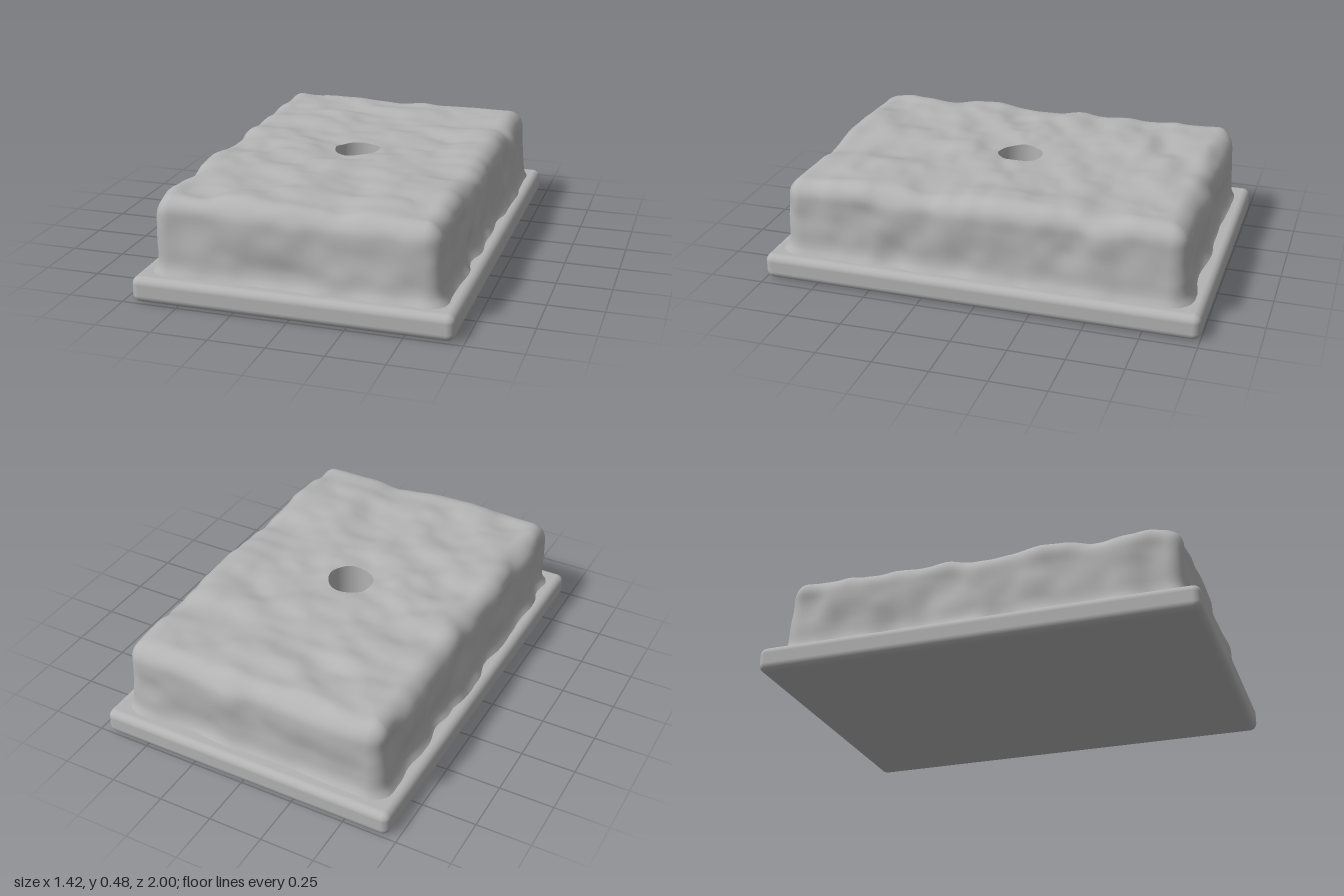
import * as THREE from 'three';
import { RoundedBoxGeometry } from 'three/addons/geometries/RoundedBoxGeometry.js';

const HOLE_R = 0.105, BASE_TOP = 0.117;

// Seeded smooth value noise, about -1..1
function hash(x, y, z) {
  let h = Math.imul(x, 374761393) ^ Math.imul(y, 668265263) ^ Math.imul(z, 1274126177) ^ 9137;
  h = Math.imul(h ^ (h >>> 13), 1103515245);
  return ((h ^ (h >>> 16)) >>> 0) / 2147483648 - 1;
}
function noise(x, y, z) {
  const c = [x, y, z].map(Math.floor);
  const f = [x, y, z].map((v, i) => { const t = v - c[i]; return t * t * t * (t * (t * 6 - 15) + 10); });
  let sum = 0;
  for (let k = 0; k < 8; k++) {
    const b = [k & 1, (k >> 1) & 1, k >> 2];
    const w = b.reduce((p, on, i) => p * (on ? f[i] : 1 - f[i]), 1);
    sum += w * hash(c[0] + b[0], c[1] + b[1], c[2] + b[2]);
  }
  return sum;
}

// Rounded rectangle loop, counter-clockwise from above, same count for every size
function ring(inset) {
  const hw = 0.638 - inset, hd = 0.918 - inset, r = Math.max(0.08 - inset, 0.02), pts = [];
  const corners = [[1, -1], [-1, -1], [-1, 1], [1, 1]];
  const at = (q, t) => {
    const a = (q + t) * Math.PI / 2;
    return [corners[q][0] * (hw - r) + r * Math.cos(a), corners[q][1] * (hd - r) - r * Math.sin(a)];
  };
  for (let q = 0; q < 4; q++) {
    for (let i = 0; i < 8; i++) pts.push(at(q, i / 8));
    const a = at(q, 1), b = at((q + 1) % 4, 0), n = q % 2 ? 64 : 44;
    for (let i = 0; i < n; i++) pts.push([0, 1].map(k => a[k] + (b[k] - a[k]) * i / n));
  }
  return pts;
}

// Skin over a stack of closed loops of [x, y, z]
function loft(rows) {
  const n = rows[0].length, index = [];
  for (let j = 0; j < rows.length - 1; j++) {
    for (let i = 0; i < n; i++) {
      const a = j * n + i, b = j * n + (i + 1) % n;
      index.push(a, b, a + n, b, b + n, a + n);
    }
  }
  const g = new THREE.BufferGeometry();
  g.setAttribute('position', new THREE.Float32BufferAttribute(rows.flat(2), 3));
  g.setIndex(index);
  g.computeVertexNormals();
  return g;
}

export function createModel() {
  const group = new THREE.Group();
  const grey = new THREE.MeshStandardMaterial({ color: 0xb3b3b3 });
  const add = (geometry, name) => {
    const mesh = new THREE.Mesh(geometry, grey);
    mesh.name = name;
    group.add(mesh);
  };

  // Flat plinth with softened edges
  const base = new RoundedBoxGeometry(1.42, BASE_TOP, 2, 4, 0.035);
  base.translate(0, BASE_TOP / 2, 0);
  add(base, 'base');

  // Block profile: flared foot, upright wall, rounded shoulder
  const profile = [[-0.03, 0.105], [-0.02, 0.12], [-0.01, 0.135], [-0.003, 0.155]];
  for (let i = 0; i <= 10; i++) profile.push([0.004 * i / 10, 0.18 + 0.2 * i / 10]);
  for (let i = 1; i <= 8; i++) {
    const a = i / 8 * Math.PI / 2;
    profile.push([0.004 + 0.085 * (1 - Math.cos(a)), 0.38 + 0.085 * Math.sin(a)]);
  }
  const rows = profile.map(([inset, y]) => ring(inset).map(([x, z]) => [x, y, z]));

  // Top surface closing in to the round hole
  const edge = rows[rows.length - 1], steps = 44;
  for (let j = 1; j <= steps; j++) {
    rows.push(edge.map(([x, y, z]) => {
      const k = 1 + (HOLE_R / Math.hypot(x, z) - 1) * j / steps;
      return [x * k, y, z * k];
    }));
  }

  // Hand-hewn unevenness pushed along the normals
  const block = loft(rows), p = block.attributes.position, nrm = block.attributes.normal;
  for (let i = 0; i < p.count; i++) {
    const x = p.getX(i), y = p.getY(i), z = p.getZ(i);
    const d = 0.016 * noise(x * 5 + 3.3, y * 6, z * 7.5) + 0.006 * noise(x * 10, y * 11 + 7.1, z * 13);
    p.setXYZ(i, x + nrm.getX(i) * d, y + nrm.getY(i) * d, z + nrm.getZ(i) * d);
  }
  block.computeVertexNormals();
  add(block, 'roughBlock');

  // Hole wall from the uneven rim down to the plinth
  const n = edge.length, rim = [];
  for (let i = p.count - n; i < p.count; i++) rim.push([p.getX(i), p.getY(i), p.getZ(i)]);
  add(loft([rim, rim.map(([x, , z]) => [x, BASE_TOP - 0.005, z])]), 'holeWall');

  return group;
}
